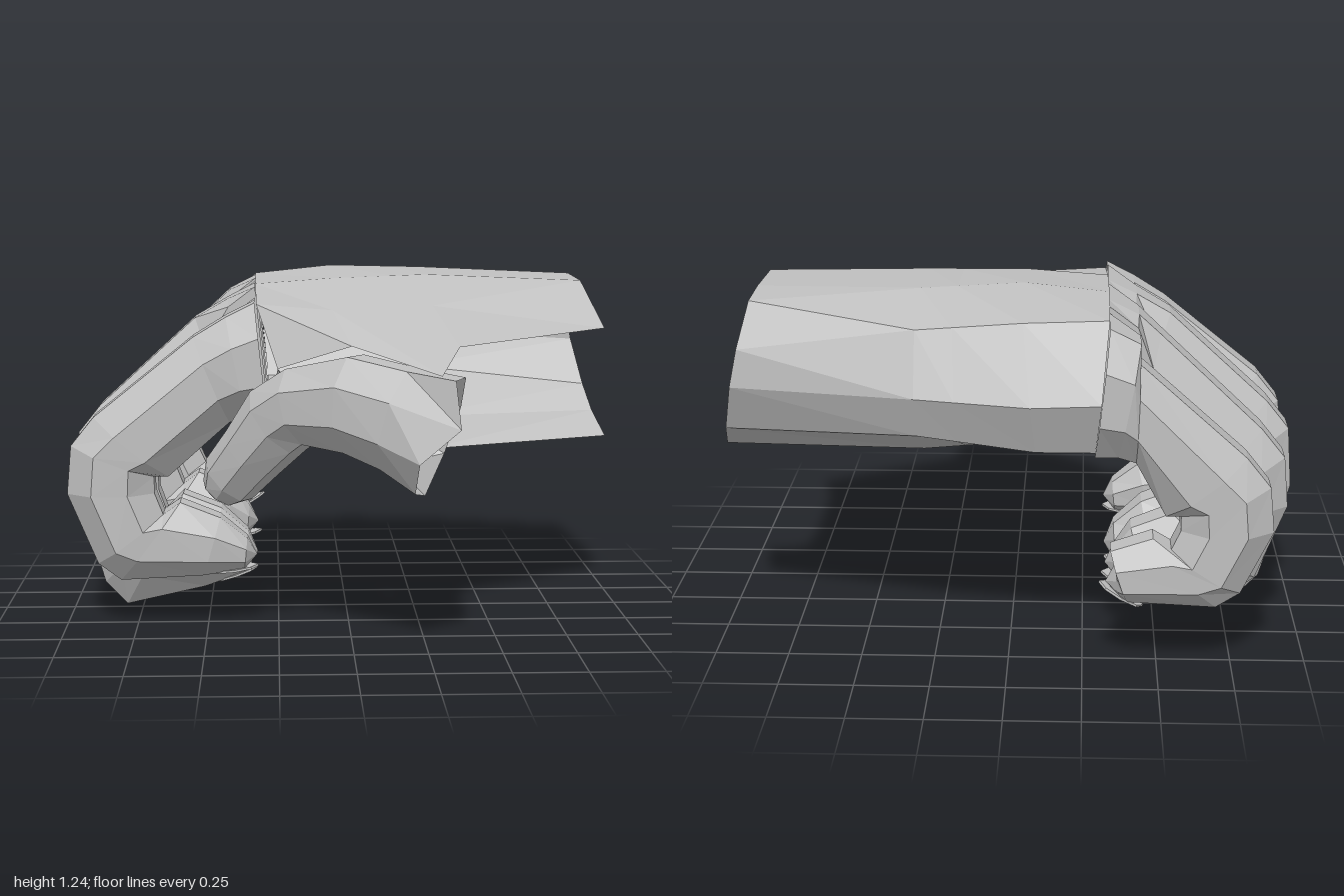
import * as THREE from 'three';

const skin = new THREE.MeshStandardMaterial({ color: 0xc0c0c0, flatShading: true, side: THREE.DoubleSide });
skin.name = 'plain grey';

const V = (x, y, z) => new THREE.Vector3(x, y, z);

// Skin a row of equal-length cross-sections with flat facets.
function loft(name, rings, closed) {
  const pos = [];
  const tri = (a, b, c) => {
    const area = b.clone().sub(a).cross(c.clone().sub(a)).length();
    if (area > 1e-6) for (const p of [a, b, c]) pos.push(p.x, p.y, p.z);
  };
  for (let r = 0; r < rings.length - 1; r++) {
    const a = rings[r], b = rings[r + 1], n = a.length;
    for (let i = 0; i < (closed ? n : n - 1); i++) {
      const j = (i + 1) % n;
      tri(a[i], a[j], b[j]);
      tri(a[i], b[j], b[i]);
    }
  }
  const geo = new THREE.BufferGeometry();
  geo.setAttribute('position', new THREE.Float32BufferAttribute(pos, 3));
  geo.computeVertexNormals();
  const mesh = new THREE.Mesh(geo, skin);
  mesh.name = name;
  return mesh;
}

// Eight-sided section spanned by two half-axes; its +side and -side can be squared off.
function octagon(mid, h, s, squarePlus = 0, squareMinus = 0) {
  const k = 1 / Math.cos(Math.PI / 8);
  return Array.from({ length: 8 }, (_, i) => {
    const t = (i + 0.5) * Math.PI / 4;
    let c = Math.cos(t) * k;
    const d = Math.sin(t) * k;
    if (Math.abs(d) > .9) c += (Math.sign(c) - c) * (d > 0 ? squarePlus : squareMinus);
    return mid.clone().addScaledVector(h, c).addScaledVector(s, d);
  });
}

// One palm section: thumb-side edge, [y, z] points over the back and round to the palm,
// and an optional end where the palm meets the thumb. slant leans it along x going down.
function section(x, slant, edge, yz, end) {
  const ring = [V(...edge), ...yz.map(([y, z]) => V(x + slant * (1.2 - y), y, z))];
  ring.push(end ? V(...end) : ring[ring.length - 1].clone());
  return ring;
}

// Back of hand and palm, open at the wrist, the thumb side and the finger roots.
function makePalm() {
  const wrist = section(.87, .21, [.91, 1.05, .22],
    [[1.2, -.1], [1.21, -.4], [1.2, -.58], [1.06, -.69], [.93, -.69], [.76, -.59], [.67, -.47], [.6, -.24]]);
  const heel = section(.3, 0, [.36, 1.02, .6],
    [[1.13, .2], [1.22, -.15], [1.23, -.5], [1.16, -.8], [.95, -.88], [.81, -.82], [.65, -.45], [.58, -.05]]);
  const middle = section(-.05, -.1, [0, 1.02, .56],
    [[1.12, .27], [1.21, -.1], [1.24, -.45], [1.19, -.82], [.94, -.935], [.77, -.86], [.67, -.4], [.66, .3]],
    [0, .72, .56]);
  const knuckles = section(-.33, .1, [-.25, .93, .42],
    [[1.14, .25], [1.19, -.1], [1.21, -.45], [1.19, -.78], [.95, -.94], [.77, -.86], [.73, -.4], [.74, .3]],
    [-.25, .93, .42]);

  // Web of the thumb: a blend of its neighbours with the edge pulled out
  const web = heel.map((p, i) => p.clone().lerp(middle[i], .35));
  web[0].set(.28, .95, .86);
  web[9].copy(web[8]);
  return loft('palm', [wrist, heel, web, middle, knuckles], false);
}

// Curled finger: outer x, y, inner x, y, then a width factor.
const PROFILE = [
  [-.33, 1.15, -.285, .75, 1.2], [-.43, 1.1, -.36, .75, 1.15], [-.55, 1.03, -.42, .73, 1],
  [-.9, .75, -.64, .54, 1], [-.98, .65, -.69, .54, .98], [-.995, .48, -.69, .48, .96],
  [-.89, .23, -.66, .4, .95], [-.81, .17, -.6, .44, .92], [-.52, .175, -.46, .38, .85],
  [-.37, .19, -.36, .3, .6],
];

function makeFinger({ name, z, width, low, shift, lift, tilt, joinFar, joinNear }) {
  const k = (0.6 - low) / 0.43;
  const fit = (x, y) => {
    let fy = y < .6 ? .6 + (y - .6) * k : y + (y > .95 ? lift : 0);
    if (y < .47) fy += tilt * Math.max(0, x + .8);
    return V(x + (x < -.45 ? shift : 0), fy, z);
  };
  const rings = PROFILE.map(([ox, oy, ix, iy, w], r) => {
    const o = fit(ox, oy), i = fit(ix, iy);
    const mid = o.clone().add(i).multiplyScalar(.5);
    const square = [1, .8][r] ?? 0;
    return octagon(mid, o.sub(i).multiplyScalar(.5), V(0, 0, -width * w), square * joinFar, square * joinNear);
  });
  rings.push(Array(8).fill(fit(-.325, .235)));
  const group = new THREE.Group();
  group.name = name;
  group.add(loft(name + 'Body', rings, true));

  // Thin oval nail lying on the outer face of the tip
  const a = fit(-.52, .175), b = fit(-.37, .19);
  const nail = new THREE.Mesh(new THREE.CylinderGeometry(1, 1, .008, 8), skin);
  nail.scale.set(.085, 1, width * .42);
  nail.position.lerpVectors(a, b, .75);
  nail.rotation.z = Math.atan2(b.y - a.y, b.x - a.x);
  nail.name = name + 'Nail';
  group.add(nail);
  return group;
}

// Thumb: open at its base, bent down and inward at the joint.
function makeThumb() {
  const path = [
    [.28, .75, .81, .2, .14], [.15, .8, .76, .17, .14], [0, .84, .67, .16, .13], [-.17, .82, .55, .13, .12],
    [-.25, .76, .49, .13, .11], [-.34, .64, .42, .11, .1], [-.42, .54, .36, .1, .085], [-.455, .49, .34, .065, .06],
  ];
  const pts = path.map(p => V(p[0], p[1], p[2]));
  const rings = path.map(([, , , rh, rs], i) => {
    const t = pts[Math.min(i + 1, pts.length - 1)].clone().sub(pts[Math.max(i - 1, 0)]).normalize();
    const up = V(0, 1, 0).addScaledVector(t, -t.y).normalize();
    const side = t.clone().cross(up);
    return octagon(pts[i], up.multiplyScalar(rh), side.multiplyScalar(rs));
  });
  rings.push(Array(8).fill(V(-.475, .465, .33)));
  // Ragged corners of the open base
  rings[0][6].set(.34, .78, .9);
  rings[0][3].set(.24, .53, .68);
  return loft('thumb', rings, true);
}

export function createModel() {
  const hand = new THREE.Group();
  hand.name = 'hand';
  hand.add(makePalm(), makeThumb());
  const fingers = [
    { name: 'indexFinger', z: .245, width: .145, low: .17, shift: .005, lift: 0, tilt: .03, joinFar: 1, joinNear: 0 },
    { name: 'middleFinger', z: -.107, width: .148, low: .005, shift: 0, lift: .04, tilt: .2, joinFar: 1, joinNear: 1 },
    { name: 'ringFinger', z: -.455, width: .142, low: .15, shift: .045, lift: .05, tilt: .05, joinFar: 1, joinNear: 1 },
    { name: 'littleFinger', z: -.785, width: .125, low: .23, shift: .12, lift: .03, tilt: .03, joinFar: 0, joinNear: 1 },
  ];
  for (const f of fingers) hand.add(makeFinger(f));
  return hand;
}
